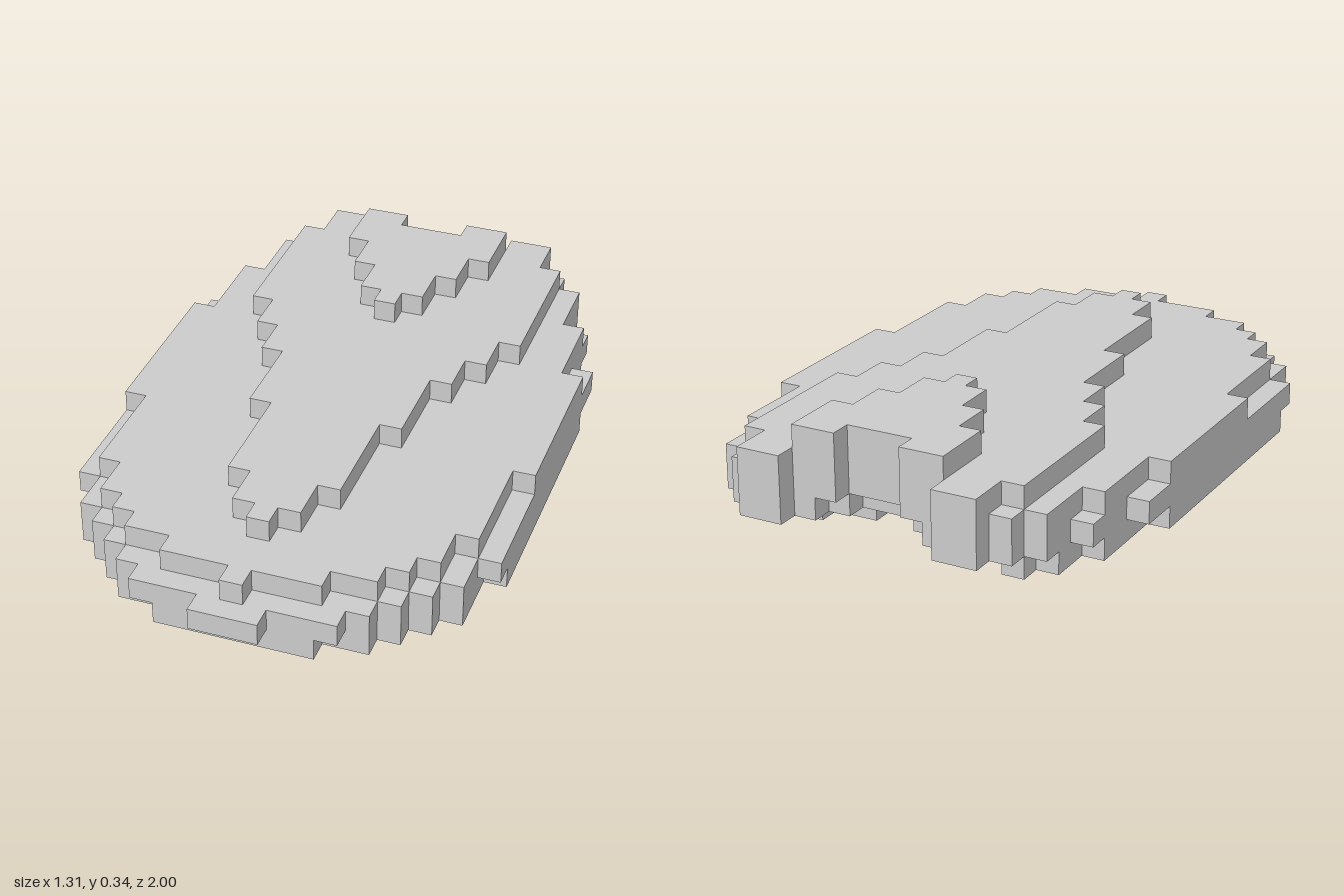
import * as THREE from 'three';

const S = 2 / 29; // one block

// Each layer: the z row at the centre of the rear notch, then [x, z] steps
// (go sideways to x, then along to z) round to the centre of the front tip.
const layers = [
  { name: 'base', start: 5, steps: [[1.5, 4], [3.5, 3], [5.5, 2], [6.5, 3], [7.5, 5], [8.5, 9], [9.5, 21],
    [8.5, 24], [7.5, 25], [6.5, 26], [5.5, 27], [3.5, 28]] },
  { name: 'rim', start: 3, steps: [[1.5, 2], [2.5, 1], [3.5, 0], [5.5, 1], [6.5, 2], [7.5, 4], [8.5, 7], [9.5, 22],
    [8.5, 24], [7.5, 25], [6.5, 26], [5.5, 27], [4.5, 28], [1.5, 29]] },
  { name: 'deck', start: 2, steps: [[1.5, 1], [3.5, 0], [5.5, 1], [6.5, 2], [7.5, 5], [8.5, 9], [9.5, 17],
    [8.5, 22], [7.5, 24], [6.5, 25], [5.5, 26], [3.5, 27], [0.5, 28]] },
  { name: 'ridge', start: 2, steps: [[1.5, 1], [3.5, 0], [5.5, 2], [6.5, 9], [5.5, 11], [4.5, 13], [3.5, 17],
    [2.5, 22], [1.5, 24], [0.5, 25]] },
  { name: 'crest', start: 2, steps: [[1.5, 1], [3.5, 4], [2.5, 6], [1.5, 8], [0.5, 9]] },
];

// Stepped outline, mirrored across x = 0
function outline(start, steps) {
  const half = [];
  let z = start;
  for (const [x, next] of steps) {
    half.push([x, z], [x, next]);
    z = next;
  }
  const mirrored = half.map(([x, zz]) => [-x, zz]).reverse();
  return new THREE.Shape([...half, ...mirrored].map(([x, zz]) => new THREE.Vector2(x * S, zz * S - 1)));
}

export function createModel() {
  const group = new THREE.Group();
  group.name = 'steppedShell';
  const material = new THREE.MeshStandardMaterial({ color: 0xcccccc, flatShading: true });
  // One block-high slab per layer, stacked upwards
  layers.forEach(({ name, start, steps }, level) => {
    const geometry = new THREE.ExtrudeGeometry(outline(start, steps), { depth: S, bevelEnabled: false });
    geometry.rotateX(Math.PI / 2);
    geometry.translate(0, (level + 1) * S, 0);
    const mesh = new THREE.Mesh(geometry, material);
    mesh.name = name;
    group.add(mesh);
  });
  return group;
}
